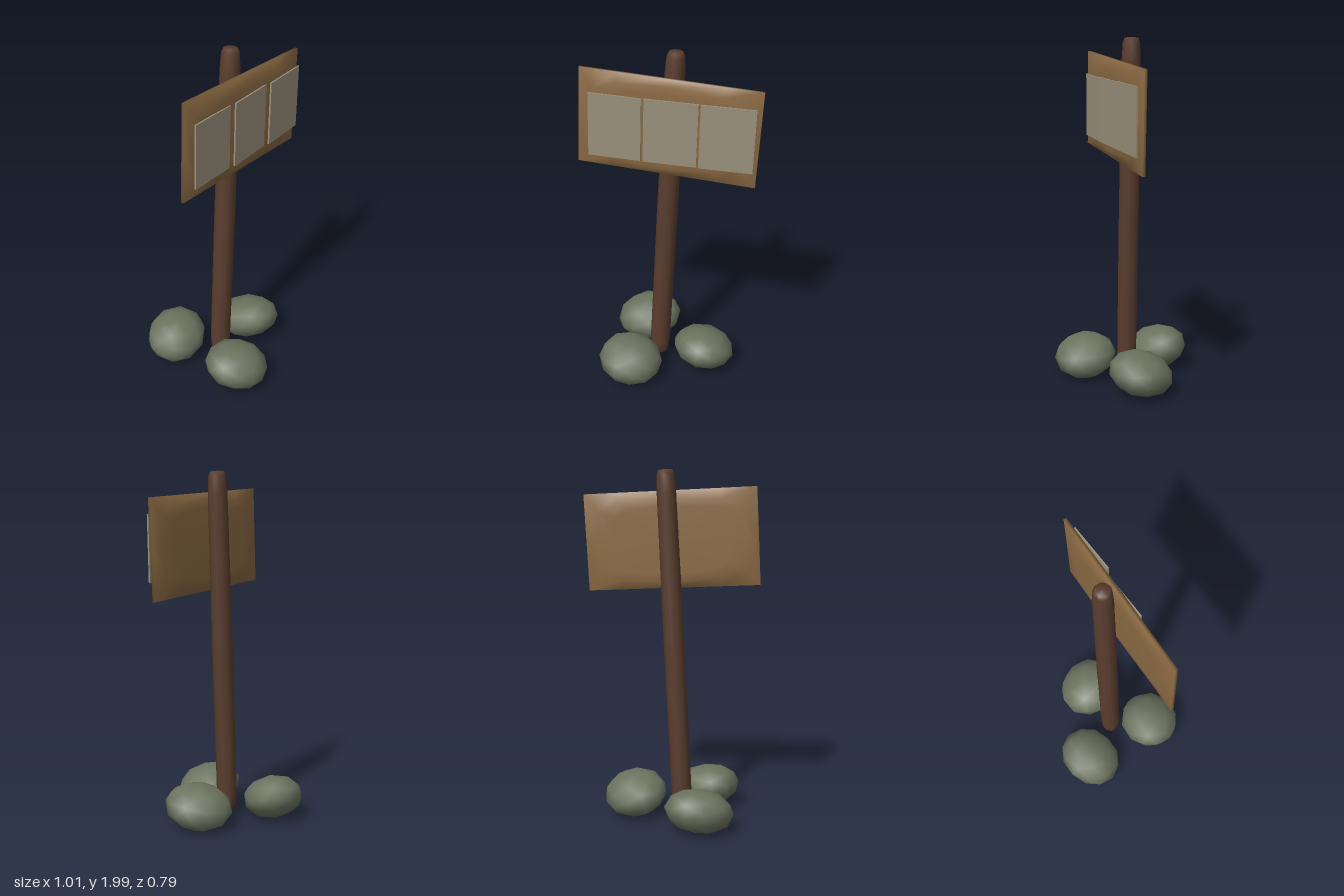
import * as THREE from 'three';

const material = (name, color) => {
  const m = new THREE.MeshStandardMaterial({ color });
  m.name = name;
  return m;
};

// Slab with a thin rectangular rim swelling to a cut-cornered plateau on both faces
function boardGeometry(w, h) {
  const rim = [[-1, -1], [-0.6, -1], [0, -1], [0.6, -1], [1, -1], [1, 0],
    [1, 1], [0.6, 1], [0, 1], [-0.6, 1], [-1, 1], [-1, 0]];
  const plateau = [[-0.82, -0.62], [-0.58, -0.8], [0, -0.87], [0.58, -0.8], [0.82, -0.62], [0.9, 0],
    [0.82, 0.62], [0.58, 0.8], [0, 0.87], [-0.58, 0.8], [-0.82, 0.62], [-0.9, 0]];
  const n = rim.length;
  const rings = [
    { pts: plateau, s: 0.8, z: -0.025 },
    { pts: plateau, s: 1, z: -0.021 },
    { pts: rim, s: 1, z: -0.008 },
    { pts: rim, s: 1, z: 0.008 },
    { pts: plateau, s: 1, z: 0.021 },
    { pts: plateau, s: 0.8, z: 0.025 },
  ];
  const pos = [], idx = [];
  for (const { pts, s, z } of rings) {
    for (const [x, y] of pts) pos.push(x * s * w / 2, y * s * h / 2, z);
  }
  for (let r = 0; r < rings.length - 1; r++) {
    for (let i = 0; i < n; i++) {
      const a = r * n + i, b = r * n + (i + 1) % n;
      idx.push(a, b, b + n, a, b + n, a + n);
    }
  }
  // Centre fans close both faces
  const back = pos.length / 3, front = back + 1, last = (rings.length - 1) * n;
  pos.push(0, 0, -0.025, 0, 0, 0.025);
  for (let i = 0; i < n; i++) {
    const j = (i + 1) % n;
    idx.push(back, j, i, front, last + i, last + j);
  }
  const g = new THREE.BufferGeometry();
  g.setAttribute('position', new THREE.Float32BufferAttribute(pos, 3));
  g.setIndex(idx);
  g.computeVertexNormals();
  return g;
}

export function createModel() {
  const group = new THREE.Group();
  const darkWood = material('dark wood', 0x5a3d2e);
  const lightWood = material('light wood', 0x8b6a43);
  const paper = material('paper', 0x9a917b);
  const stone = material('stone', 0x6b735f);

  const add = (name, geometry, mat, position, rotation = [0, 0, 0], scale = [1, 1, 1]) => {
    const mesh = new THREE.Mesh(geometry, mat);
    mesh.name = name;
    mesh.position.set(...position);
    mesh.rotation.set(...rotation);
    mesh.scale.set(...scale);
    group.add(mesh);
  };

  // Leaning post with rounded ends
  const profile = [[0, -0.972], [0.036, -0.97], [0.05, -0.95], [0.058, -0.88],
    [0.059, 0], [0.054, 0.85], [0.049, 0.945], [0.038, 0.97], [0, 0.974]]
    .map(([r, y]) => new THREE.Vector2(r, y));
  add('post', new THREE.LatheGeometry(profile, 10), darkWood, [-0.034, 1.025, 0], [0, 0, -0.052]);

  // Sign board, slightly skewed on the post
  add('board', boardGeometry(0.978, 0.545), lightWood, [-0.003, 1.607, 0.09], [0, 0.031, -0.052]);

  // Three notices pinned on the front
  const notice = new THREE.BoxGeometry(0.288, 0.36, 0.009);
  [[-0.287, 0.128, 0.05], [0.02, 0.128, 0.085], [0.323, 0.124, 0.09]].forEach(([x, z, turn], i) =>
    add(`notice${i + 1}`, notice, paper, [x, 1.592, z], [0, turn, -0.03]));

  // Tilted stones around the foot
  const rock = new THREE.IcosahedronGeometry(1, 1);
  add('backStone', rock, stone, [-0.217, 0.134, -0.232], [0.2, 0.3, 0.1], [0.197, 0.124, 0.172]);
  add('sideStone', rock, stone, [0.192, 0.138, -0.002], [-0.18, 0.5, -0.14], [0.182, 0.12, 0.192]);
  add('frontStone', rock, stone, [-0.2, 0.134, 0.22], [0.1, -0.3, -0.16], [0.189, 0.122, 0.182]);

  return group;
}
